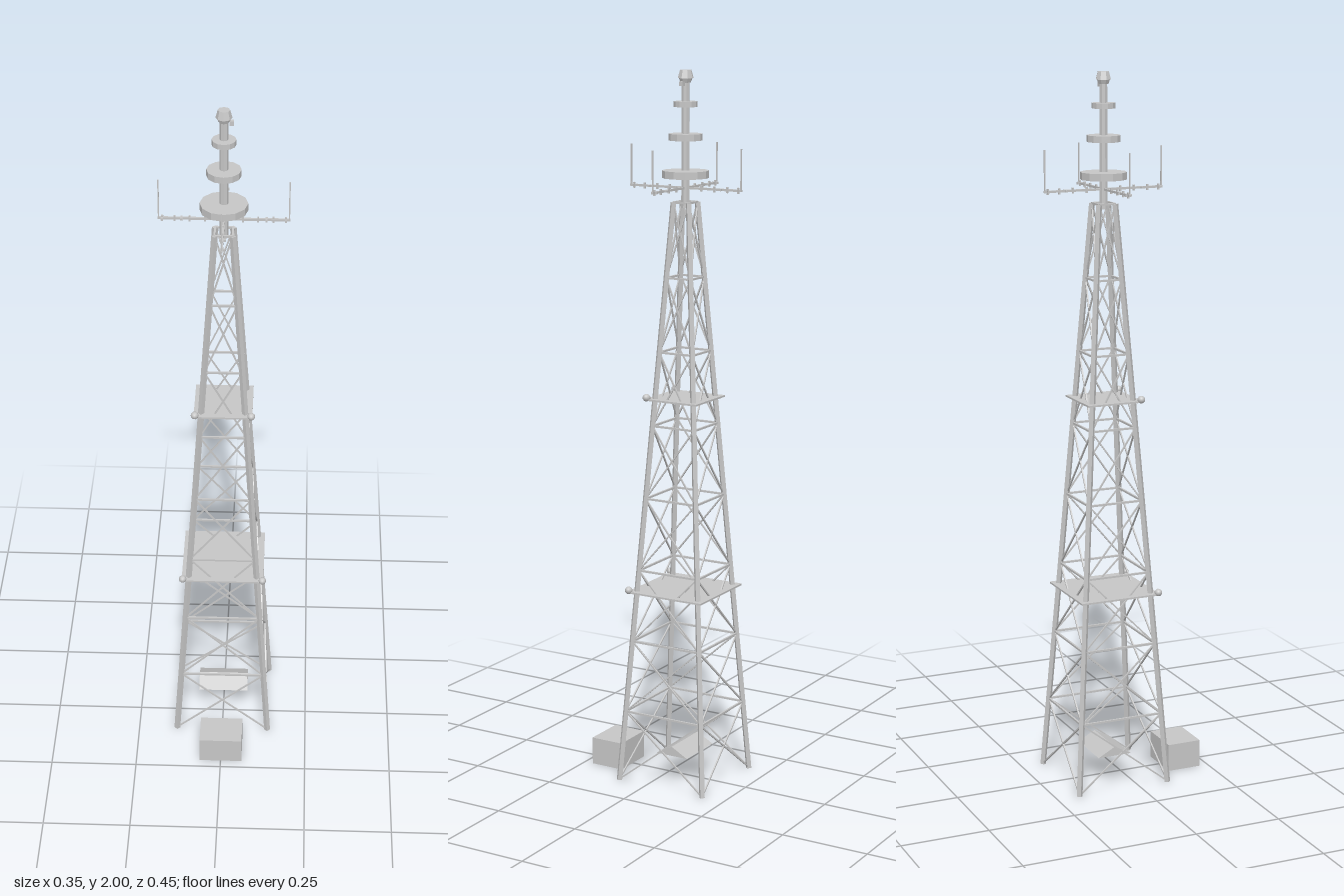
import * as THREE from 'three';

export function createModel() {
  const model = new THREE.Group();
  model.name = 'latticeTower';
  const steel = new THREE.MeshStandardMaterial({ color: 0xc6c6c6 });
  steel.name = 'grey steel';
  const tower = new THREE.Group();
  tower.name = 'tower';
  tower.position.z = -0.05;
  model.add(tower);

  const V = (x, y, z) => new THREE.Vector3(x, y, z);
  function add(name, geometry, x = 0, y = 0, z = 0, parent = tower) {
    const m = new THREE.Mesh(geometry, steel);
    m.name = name;
    m.position.set(x, y, z);
    parent.add(m);
    return m;
  }
  // square bar between two points
  function bar(name, a, b, w, parent = tower) {
    const m = new THREE.Mesh(new THREE.BoxGeometry(w, w, a.distanceTo(b)), steel);
    m.name = name;
    m.position.copy(a).add(b).multiplyScalar(0.5);
    m.lookAt(b);
    parent.add(m);
  }
  // faceted drum with hard edges
  function drum(name, rTop, rBottom, h, sides, x, y, z) {
    const g = new THREE.CylinderGeometry(rTop, rBottom, h, sides).toNonIndexed();
    g.computeVertexNormals();
    return add(name, g, x, y, z);
  }

  // tapering lattice
  const H = 1.645, SECTIONS = 8;
  const half = y => 0.136 + (0.024 - 0.136) * y / H;
  const signs = [[1, 1], [-1, 1], [-1, -1], [1, -1]];
  const corner = (i, y) => V(signs[i % 4][0] * half(y), y, signs[i % 4][1] * half(y));
  for (let i = 0; i < 4; i++) {
    bar('leg', corner(i, 0.002), corner(i, H), 0.0125);
    for (let s = 0; s < SECTIONS; s++) {
      const y0 = Math.max(0.004, H * s / SECTIONS), y1 = H * (s + 1) / SECTIONS;
      bar('diagonalBrace', corner(i, y0), corner(i + 1, y1), 0.004);
      bar('diagonalBrace', corner(i + 1, y0), corner(i, y1), 0.004);
      bar('horizontalBrace', corner(i, y1), corner(i + 1, y1), 0.0055);
    }
  }

  // platforms with lamps on the front corners
  for (const [y, r] of [[0.555, 0.118], [1.103, 0.081]]) {
    add('platform', new THREE.BoxGeometry(2 * r, 0.005, 2 * r), 0, y, 0);
    for (const s of [-1, 1])
      add('warningLamp', new THREE.IcosahedronGeometry(0.011, 1), s * (r - 0.003), y + 0.006, r - 0.003);
  }

  // mast with antenna drums
  drum('mast', 0.011, 0.012, 0.36, 8, 0, 1.81, 0);
  drum('lowerDrum', 0.064, 0.064, 0.02, 12, 0, 1.721, 0);
  drum('middleDrum', 0.046, 0.046, 0.018, 12, 0, 1.821, 0);
  drum('upperDrum', 0.032, 0.032, 0.015, 12, 0, 1.909, 0);
  drum('beacon', 0.016, 0.022, 0.022, 8, 0, 1.989, 0);
  drum('beaconCollar', 0.019, 0.014, 0.012, 8, 0, 1.972, 0);
  add('beaconSensor', new THREE.BoxGeometry(0.012, 0.012, 0.012), 0.02, 1.964, 0);

  // four antenna arms with whips and cross pieces
  for (let i = 0; i < 4; i++) {
    const arm = new THREE.Group();
    arm.name = 'antennaArm';
    arm.position.y = 1.684;
    bar('boom', V(0, 0, 0), V(0.175, 0, 0), 0.006, arm);
    bar('whip', V(0.172, 0, 0), V(0.172, 0.112, 0), 0.0035, arm);
    for (const x of [0.163, 0.112])
      bar('crossPiece', V(x, 0, -0.009), V(x, 0, 0.009), 0.006, arm);
    for (const x of [0.163, 0.13, 0.09, 0.05])
      bar('stub', V(x, -0.008, 0), V(x, 0.008, 0), 0.005, arm);
    arm.rotation.y = i * Math.PI / 2;
    tower.add(arm);
  }

  // gabled roof under the lattice, ridge along x
  const gable = new THREE.Shape([
    new THREE.Vector2(-0.05, 0), new THREE.Vector2(0.05, 0), new THREE.Vector2(0, 0.027)]);
  const roof = add('gabledRoof',
    new THREE.ExtrudeGeometry(gable, { depth: 0.146, bevelEnabled: false }), -0.073, 0.079, 0);
  roof.rotation.y = Math.PI / 2;

  // equipment hut in front
  add('equipmentHut', new THREE.BoxGeometry(0.124, 0.079, 0.099), 0, 0.0395, 0.1745, model);
  return model;
}
